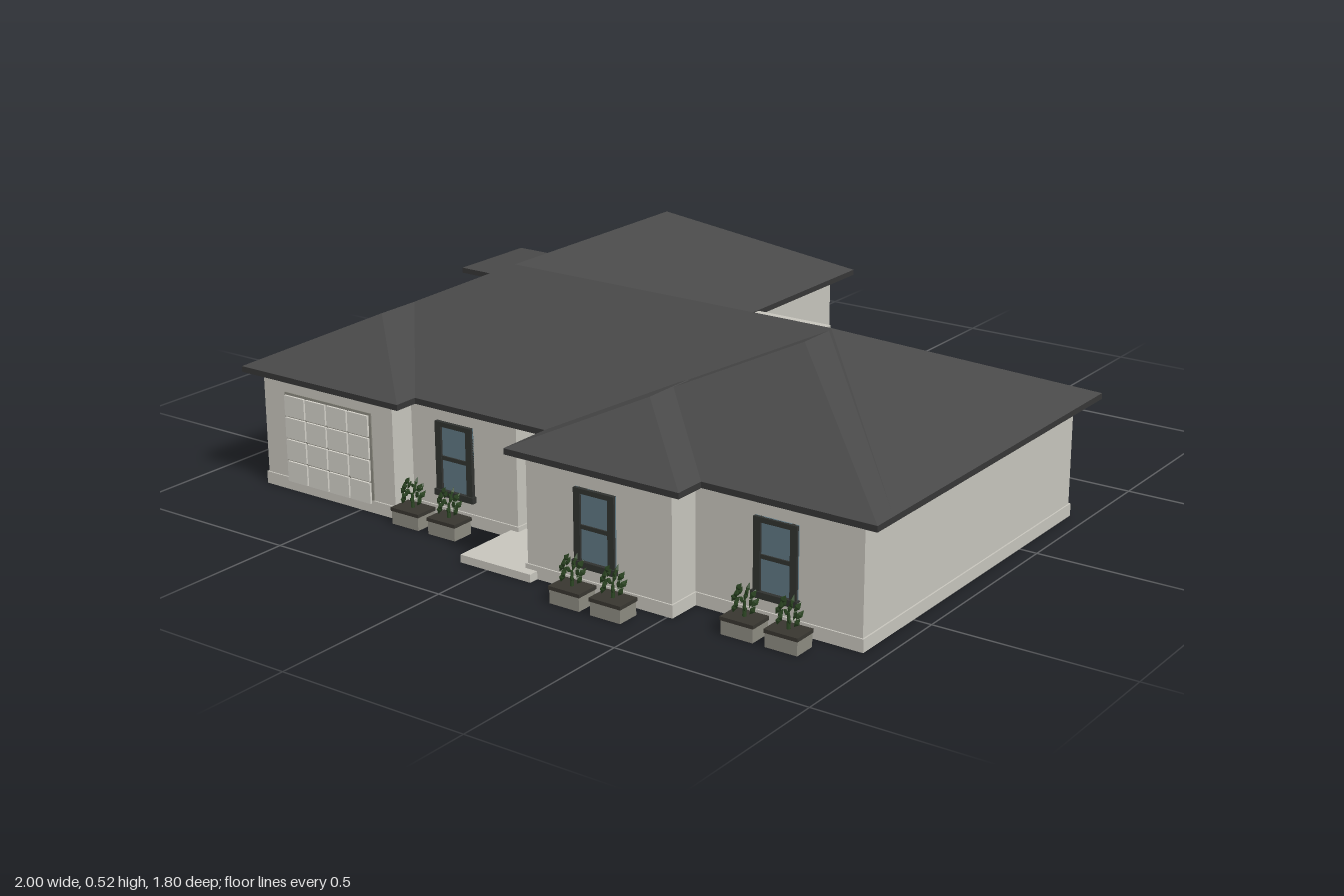
import * as THREE from 'three';

const mat = (name, color, side = THREE.FrontSide) => {
  const m = new THREE.MeshStandardMaterial({ color, side });
  m.name = name;
  return m;
};

export function createModel() {
  const M = {
    wall: mat('wall render', 0xc6c4bc),
    roof: mat('roof tile', 0x484848),
    fascia: mat('fascia', 0x363636),
    frame: mat('window frame', 0x30322f),
    glass: mat('glass', 0x5e7782),
    panel: mat('door panel', 0xd2d0c8),
    door: mat('door wood', 0x85826f),
    planter: mat('planter stone', 0x8c8a80),
    leaf: mat('foliage', 0x2b4522, THREE.DoubleSide),
    soil: mat('soil', 0x383630),
  };
  const house = new THREE.Group();
  house.name = 'house';

  // box given by its extents
  const box = (parent, name, m, x0, x1, y0, y1, z0, z1) => {
    const mesh = new THREE.Mesh(new THREE.BoxGeometry(x1 - x0, y1 - y0, z1 - z0), m);
    mesh.position.set((x0 + x1) / 2, (y0 + y1) / 2, (z0 + z1) / 2);
    mesh.name = name;
    parent.add(mesh);
    return mesh;
  };
  const group = (name, x, y, z, ry = 0) => {
    const g = new THREE.Group();
    g.name = name;
    g.position.set(x, y, z);
    g.rotation.y = ry;
    house.add(g);
    return g;
  };

  // walls with a slightly projecting plinth: x0, x1, z0, z1
  const blocks = {
    backWing: [-0.82, -0.12, -0.855, 0],
    mainBlock: [-0.82, 0.95, -0.26, 0.55],
    porchSide: [-0.82, -0.06, 0, 0.64],
    garageBay: [-0.82, -0.39, 0, 0.71],
    rightWing: [0.1, 0.95, 0, 0.71],
    frontBay: [0.1, 0.51, 0, 0.8],
  };
  for (const [name, [x0, x1, z0, z1]] of Object.entries(blocks)) {
    const e = 0.004;
    box(house, name + 'Walls', M.wall, x0, x1, 0.002, 0.305, z0, z1);
    box(house, name + 'Plinth', M.wall, x0 - e, x1 + e, 0, 0.032, z0 - e, z1 + e);
  }

  // hip roof over a rectangle with ridge end points p and q, on a fascia band
  const EAVE = 0.315;
  const hipRoof = (name, x0, x1, z0, z1, p, q, alongX) => {
    const a = [x0, EAVE, z1], b = [x1, EAVE, z1], c = [x1, EAVE, z0], d = [x0, EAVE, z0];
    // p is the left end or the front end, q the right end or the back end
    const tris = alongX
      ? [a, b, q, a, q, p, b, c, q, c, d, p, c, p, q, d, a, p]
      : [a, b, p, b, c, q, b, q, p, c, d, q, d, a, p, d, p, q];
    const geo = new THREE.BufferGeometry();
    geo.setAttribute('position', new THREE.Float32BufferAttribute(tris.flat(), 3));
    geo.computeVertexNormals();
    const mesh = new THREE.Mesh(geo, M.roof);
    mesh.name = name;
    house.add(mesh);
    box(house, name + 'Fascia', M.fascia, x0, x1, 0.3, EAVE, z0, z1);
  };
  hipRoof('mainRoof', -0.86, 1, -0.31, 0.68, [-0.43, 0.522, 0.185], [0.53, 0.522, 0.185], true);
  hipRoof('backWingRoof', -0.86, -0.07, -0.9, 0.18, [-0.455, 0.51, 0.18], [-0.455, 0.51, -0.52], false);
  hipRoof('garageRoof', -0.86, -0.34, 0.3, 0.745, [-0.6, 0.44, 0.505], [-0.6, 0.44, 0.3], false);
  hipRoof('rightWingRoof', 0.06, 1, 0.18, 0.745, [0.53, 0.518, 0.3], [0.53, 0.518, 0.18], false);
  hipRoof('frontBayRoof', 0.06, 0.55, 0.45, 0.83, [0.305, 0.423, 0.6], [0.305, 0.423, 0.45], false);
  hipRoof('sidePorchRoof', -1, -0.72, -0.53, -0.27, [-0.885, 0.363, -0.4], [-0.72, 0.363, -0.4], true);

  // double-hung window, facing +z before turning
  const addWindow = (x, z, w, y0, y1, ry = 0) => {
    const g = group('window', x, 0, z, ry), h = w / 2, t = 0.018, mid = (y0 + y1) / 2;
    box(g, 'glass', M.glass, -h, h, y0, y1, -0.003, 0.004);
    for (const s of [-1, 1]) {
      const cx = s * (h - t / 2);
      box(g, 'jamb', M.frame, cx - t / 2, cx + t / 2, y0, y1, 0, 0.01);
    }
    box(g, 'head', M.frame, -h, h, y1 - 0.012, y1, 0, 0.01);
    box(g, 'meetingRail', M.frame, -h + t, h - t, mid - 0.005, mid + 0.005, 0, 0.008);
    box(g, 'sill', M.frame, -h - 0.004, h + 0.004, y0 - 0.006, y0 + 0.01, 0, 0.014);
  };
  addWindow(-0.25, 0.64, 0.114, 0.07, 0.255);
  addWindow(0.3, 0.8, 0.114, 0.07, 0.255);
  addWindow(0.728, 0.71, 0.114, 0.07, 0.255);
  addWindow(0.7, -0.26, 0.114, 0.07, 0.255, Math.PI);
  addWindow(-0.225, -0.855, 0.085, 0.1, 0.255, Math.PI);
  addWindow(-0.41, -0.855, 0.114, 0.09, 0.255, Math.PI);
  addWindow(-0.69, -0.855, 0.114, 0.07, 0.255, Math.PI);

  // sectional garage door
  const garage = group('garageDoor', -0.603, 0.02, 0.71);
  box(garage, 'garageBacking', M.planter, -0.145, 0.145, 0, 0.24, -0.002, 0.003);
  for (let i = 0; i < 4; i++) for (let j = 0; j < 4; j++) {
    const x = -0.141 + i * 0.071, y = 0.004 + j * 0.0585;
    box(garage, 'garagePanel', M.panel, x, x + 0.066, y, y + 0.054, 0, 0.009);
  }

  // front door with five lights
  const door = group('frontDoor', 0.025, 0.02, 0.55);
  box(door, 'doorLeaf', M.door, -0.046, 0.046, 0, 0.228, 0, 0.006);
  for (const s of [-1, 1]) box(door, 'doorJamb', M.panel, s * 0.05 - 0.005, s * 0.05 + 0.005, 0, 0.235, 0, 0.012);
  box(door, 'doorHead', M.panel, -0.055, 0.055, 0.228, 0.238, 0, 0.012);
  for (let i = 0; i < 5; i++) {
    const y = 0.02 + i * 0.041;
    box(door, 'doorLight', M.panel, -0.024, 0.032, y, y + 0.028, 0, 0.009);
  }
  box(door, 'doorHandle', M.frame, -0.039, -0.033, 0.09, 0.125, 0.004, 0.014);
  box(house, 'frontStep', M.wall, -0.08, 0.13, 0, 0.02, 0.5, 0.83);

  // sliding patio door, step and canopy at the back
  const patio = group('patioDoor', 0.025, 0.035, -0.26, Math.PI);
  box(patio, 'patioGlass', M.glass, -0.105, 0.105, 0, 0.215, -0.002, 0.004);
  for (const x of [-0.105, 0, 0.105]) box(patio, 'patioStile', M.panel, x - 0.005, x + 0.005, 0, 0.215, 0, 0.009);
  for (const y of [0, 0.207]) box(patio, 'patioRail', M.panel, -0.11, 0.11, y, y + 0.008, 0, 0.009);
  box(house, 'patioStep', M.planter, -0.07, 0.16, 0.018, 0.035, -0.41, -0.26);
  box(house, 'patioCanopy', M.wall, -0.07, 0.16, 0.302, 0.313, -0.41, -0.3);

  // side porch
  box(house, 'sidePorchFloor', M.wall, -0.96, -0.82, 0, 0.02, -0.51, -0.29);
  for (const z of [-0.49, -0.31]) box(house, 'sidePorchPost', M.wall, -0.955, -0.932, 0.02, 0.302, z - 0.012, z + 0.012);
  const sideDoor = group('sideDoor', -0.82, 0.02, -0.4, -Math.PI / 2);
  box(sideDoor, 'sideDoorLeaf', M.door, -0.05, 0.05, 0, 0.23, 0, 0.007);
  box(sideDoor, 'sideDoorHandle', M.frame, 0.034, 0.04, 0.09, 0.12, 0.005, 0.014);

  // planters with small leafy shrubs
  const leafGeo = new THREE.OctahedronGeometry(1);
  const addPlanter = (x, z) => {
    const g = group('planter', x, 0, z);
    box(g, 'planterBox', M.planter, -0.042, 0.042, 0, 0.034, -0.03, 0.03);
    box(g, 'planterRim', M.soil, -0.044, 0.044, 0.034, 0.043, -0.032, 0.032);
    const stem = new THREE.Mesh(new THREE.CylinderGeometry(0.003, 0.005, 0.04, 6), M.leaf);
    stem.position.y = 0.06;
    stem.name = 'stem';
    g.add(stem);
    for (let i = 0; i < 18; i++) {
      const a = i * 2.4, k = i / 17, r = 0.008 + 0.016 * Math.sin(1 + k * 1.7);
      const leaf = new THREE.Mesh(leafGeo, M.leaf);
      leaf.scale.set(0.007, 0.014, 0.005);
      leaf.position.set(Math.cos(a) * r, 0.062 + k * 0.046, Math.sin(a) * r);
      leaf.rotation.set(Math.sin(a) * 0.6, -a, -Math.cos(a) * 0.6);
      leaf.name = 'leaf';
      g.add(leaf);
    }
  };
  for (const [x, z] of [[-0.333, 0.71], [-0.217, 0.71], [0.28, 0.865], [0.395, 0.865], [0.69, 0.78], [0.805, 0.78]])
    addPlanter(x, z);

  return house;
}
